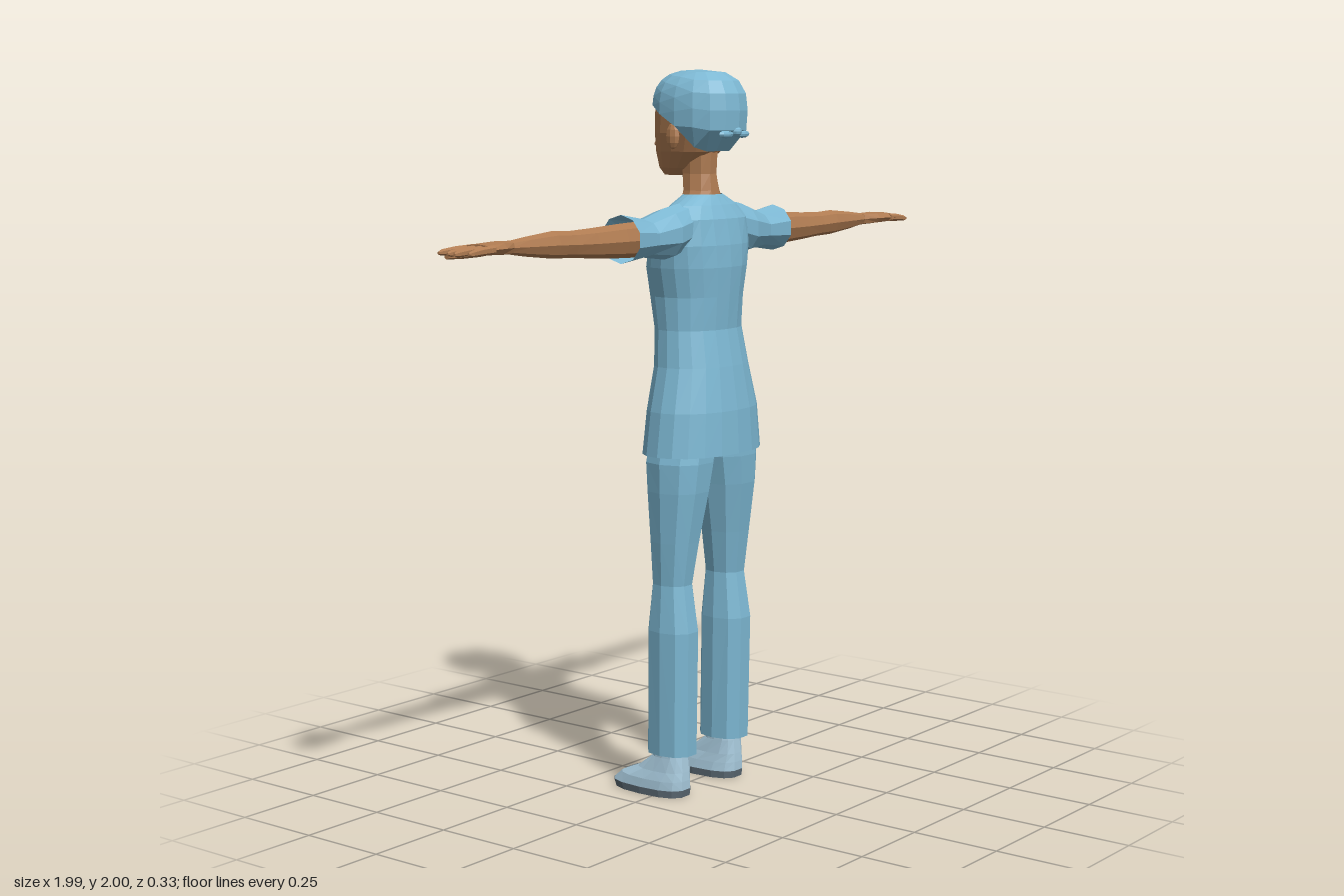
import * as THREE from 'three';

const mat = (name, color, side = THREE.FrontSide) =>
  Object.assign(new THREE.MeshStandardMaterial({ color, side }), { name });

// Faceted surface through rows of points; optionally closed around and capped at both ends.
function skinRows(rows, closed = true, capped = false) {
  const p = [], n = rows[0].length;
  const tri = (...v) => v.forEach(q => p.push(...q));
  for (let r = 0; r < rows.length - 1; r++) {
    for (let i = 0; i < (closed ? n : n - 1); i++) {
      const j = (i + 1) % n, a = rows[r], b = rows[r + 1];
      tri(a[i], a[j], b[j]);
      tri(a[i], b[j], b[i]);
    }
  }
  if (capped) {
    const mid = row => [0, 1, 2].map(k => row.reduce((s, q) => s + q[k], 0) / n);
    const first = rows[0], last = rows[rows.length - 1];
    for (let i = 0; i < n; i++) {
      const j = (i + 1) % n;
      tri(mid(first), first[j], first[i]);
      tri(mid(last), last[i], last[j]);
    }
  }
  const g = new THREE.BufferGeometry();
  g.setAttribute('position', new THREE.Float32BufferAttribute(p, 3));
  g.computeVertexNormals();
  return g;
}

// Unit superellipse corner
const corner = (i, n, pow) => {
  const t = i / n * Math.PI * 2, f = v => Math.sign(v) * Math.abs(v) ** (2 / pow);
  return [f(Math.cos(t)), f(Math.sin(t))];
};

// Upright loft: sections are [y, x0, x1, z0, z1]
const loftY = (sections, n = 12, pow = 2.2, capped = true) =>
  skinRows(sections.map(([y, x0, x1, z0, z1]) => Array.from({ length: n }, (_, i) => {
    const [c, s] = corner(i, n, pow);
    return [(x0 + x1) / 2 + c * (x1 - x0) / 2, y, (z0 + z1) / 2 - s * (z1 - z0) / 2];
  })), true, capped);

// Sideways loft: sections are [x, y0, y1, z0, z1]
const loftX = (sections, n = 8, pow = 2, capped = true) =>
  skinRows(sections.map(([x, y0, y1, z0, z1]) => Array.from({ length: n }, (_, i) => {
    const [c, s] = corner(i, n, pow);
    return [x, (y0 + y1) / 2 + c * (y1 - y0) / 2, (z0 + z1) / 2 + s * (z1 - z0) / 2];
  })), true, capped);

// Thin plate that follows the -z face of an upright loft; rows are [y, halfWidth]
function frontPatch(sections, rows, cx = 0, off = 0.003, pow = 2.2) {
  return skinRows(rows.map(([y, w]) => {
    let k = 0;
    while (k < sections.length - 2 && sections[k + 1][0] < y) k++;
    const a = sections[k], b = sections[k + 1], t = (y - a[0]) / (b[0] - a[0]);
    const [, x0, x1, z0, z1] = a.map((v, i) => v + (b[i] - v) * t);
    return [1, 0.5, 0, -0.5, -1].map(u => {
      const x = cx + u * w, d = Math.min(1, Math.abs((x - (x0 + x1) / 2) / ((x1 - x0) / 2)));
      return [x, y, (z0 + z1) / 2 - (z1 - z0) / 2 * (1 - d ** pow) ** (1 / pow) - off];
    });
  }), false);
}

function mirrored(geometry) {
  const g = geometry.clone(), p = g.attributes.position;
  for (let i = 0; i < p.count; i += 3) {
    const v = [0, 2, 1].map(k => [-p.getX(i + k), p.getY(i + k), p.getZ(i + k)]);
    v.forEach((q, k) => p.setXYZ(i + k, ...q));
  }
  g.computeVertexNormals();
  return g;
}

function blob(x, y, z, rx, ry, rz) {
  const g = new THREE.SphereGeometry(1, 8, 6).toNonIndexed();
  g.scale(rx, ry, rz).translate(x, y, z);
  g.computeVertexNormals();
  return g;
}

export function createModel() {
  const model = new THREE.Group();
  model.name = 'figure';
  const cloth = mat('blue cloth', 0x7db8d3, THREE.DoubleSide);
  const skin = mat('skin', 0xb07c52);
  const lip = mat('lips', 0x8a5242);
  const white = mat('eye white', 0xe4e0da);
  const dark = mat('dark brown', 0x33241d);
  const shoeBlue = mat('pale shoe', 0xa9cbde);
  const soleGrey = mat('sole', 0x5c6a74);
  const laceGrey = mat('laces', 0x76868f);

  const add = (name, g, m) => {
    const mesh = new THREE.Mesh(g, m);
    mesh.name = name;
    model.add(mesh);
  };
  const pair = (name, g, m) => {
    add(name + 'Left', g, m);
    add(name + 'Right', mirrored(g), m);
  };

  // Tunic with open hem
  const torso = [
    [0.96, -0.2, 0.2, -0.088, 0.167], [1.08, -0.185, 0.185, -0.08, 0.162],
    [1.2, -0.153, 0.153, -0.07, 0.145], [1.3, -0.14, 0.14, -0.073, 0.127],
    [1.39, -0.142, 0.142, -0.092, 0.134], [1.47, -0.16, 0.16, -0.096, 0.14],
    [1.53, -0.168, 0.168, -0.078, 0.137], [1.6, -0.162, 0.162, -0.038, 0.124],
    [1.637, -0.12, 0.12, -0.018, 0.105], [1.665, -0.062, 0.062, -0.004, 0.088],
  ];
  add('tunic', loftY(torso, 20, 2.2, false), cloth);
  add('neckOpening', frontPatch(torso, [[1.53, 0.002], [1.57, 0.018], [1.6, 0.03], [1.637, 0.044], [1.663, 0.052]], 0, 0.005), skin);
  pair('sleeve', loftX([
    [0.08, 1.52, 1.648, -0.01, 0.1], [0.17, 1.495, 1.633, -0.025, 0.11],
    [0.25, 1.505, 1.607, -0.025, 0.095], [0.34, 1.493, 1.622, -0.036, 0.1],
  ], 10, 2, false), cloth);

  // Arms and hands
  pair('arm', loftX([
    [0.26, 1.507, 1.603, -0.003, 0.083], [0.36, 1.51, 1.6, 0, 0.08],
    [0.47, 1.516, 1.594, 0.002, 0.073], [0.55, 1.522, 1.591, 0.003, 0.07],
    [0.62, 1.524, 1.594, 0.003, 0.07], [0.72, 1.535, 1.585, 0.012, 0.062],
    [0.79, 1.545, 1.577, 0.017, 0.055],
  ]), skin);
  pair('palm', loftX([
    [0.78, 1.544, 1.578, 0.016, 0.056], [0.83, 1.545, 1.58, -0.002, 0.076],
    [0.9, 1.549, 1.576, -0.004, 0.086],
  ], 8, 2.5), skin);
  [[0.006, -0.018, 0.975], [0.03, 0.026, 0.99], [0.053, 0.052, 0.993], [0.075, 0.077, 0.97]].forEach(([z0, z1, tip], i) => {
    const zm = (z0 + z1) / 2, xm = (0.88 + tip) / 2;
    pair('finger' + (i + 1), loftX([
      [0.88, 1.551, 1.574, z0 - 0.011, z0 + 0.011], [xm, 1.55, 1.571, zm - 0.011, zm + 0.011],
      [tip - 0.012, 1.549, 1.565, z1 - 0.009, z1 + 0.009], [tip, 1.552, 1.56, z1 - 0.004, z1 + 0.004],
    ], 6), skin);
  });
  pair('thumb', loftX([
    [0.805, 1.547, 1.572, 0.005, 0.035], [0.84, 1.539, 1.568, -0.03, 0.012],
    [0.866, 1.535, 1.558, -0.055, -0.02], [0.893, 1.533, 1.547, -0.077, -0.062],
  ], 6), skin);

  // Trousers
  pair('trouserLeg', loftY([
    [0.12, 0.062, 0.177, -0.045, 0.1], [0.47, 0.06, 0.182, -0.04, 0.106],
    [0.6, 0.07, 0.17, -0.027, 0.086], [0.72, 0.05, 0.18, -0.033, 0.103],
    [0.86, 0.022, 0.189, -0.045, 0.125], [0.94, 0.003, 0.191, -0.052, 0.132],
    [1.02, 0, 0.17, -0.05, 0.13],
  ], 10, 2.3, false), cloth);

  // Shoes
  const shoe = [
    [0.02, 0.062, 0.18, -0.166, 0.08], [0.045, 0.066, 0.178, -0.137, 0.08],
    [0.07, 0.072, 0.17, -0.078, 0.078], [0.11, 0.077, 0.163, -0.025, 0.074],
    [0.16, 0.08, 0.16, -0.02, 0.07],
  ];
  pair('shoe', loftY(shoe, 14, 2.6), shoeBlue);
  pair('sole', loftY([[0, 0.063, 0.179, -0.16, 0.078], [0.02, 0.061, 0.181, -0.168, 0.081]], 14, 2.6), soleGrey);
  pair('laces', frontPatch(shoe, [[0.05, 0.018], [0.07, 0.021], [0.1, 0.018]], 0.121, 0.004, 2.6), laceGrey);

  // Neck and head
  add('neck', loftY([
    [1.62, -0.075, 0.075, -0.015, 0.095], [1.675, -0.05, 0.05, -0.012, 0.086],
    [1.72, -0.041, 0.041, -0.02, 0.08], [1.8, -0.042, 0.042, -0.03, 0.085],
  ], 10), skin);
  const head = [
    [1.715, -0.028, 0.028, -0.082, -0.02], [1.735, -0.05, 0.05, -0.096, 0.025],
    [1.78, -0.077, 0.077, -0.101, 0.085], [1.83, -0.091, 0.091, -0.1, 0.11],
    [1.88, -0.096, 0.096, -0.098, 0.12], [1.93, -0.094, 0.094, -0.09, 0.12],
    [1.975, -0.05, 0.05, -0.03, 0.08],
  ];
  add('head', loftY(head, 16), skin);
  pair('ear', blob(0.098, 1.822, 0.015, 0.013, 0.035, 0.022), skin);
  add('nose', loftY([
    [1.786, -0.012, 0.012, -0.106, -0.09], [1.797, -0.018, 0.018, -0.122, -0.09],
    [1.815, -0.011, 0.011, -0.115, -0.09], [1.86, -0.007, 0.007, -0.102, -0.09],
  ], 6), skin);

  // Facial details
  pair('eye', frontPatch(head, [[1.84, 0.006], [1.848, 0.016], [1.856, 0.007]], 0.038), white);
  pair('iris', frontPatch(head, [[1.841, 0.004], [1.848, 0.006], [1.856, 0.004]], 0.038, 0.005), dark);
  pair('eyebrow', frontPatch(head, [[1.871, 0.02], [1.878, 0.017]], 0.041), dark);
  add('lips', frontPatch(head, [[1.75, 0.01], [1.758, 0.026], [1.767, 0.012]], 0, 0.005), lip);

  // Cap: brow-high rim at the face, dipping to the nape
  const capRows = [];
  for (let r = 0; r <= 6; r++) {
    capRows.push(Array.from({ length: 16 }, (_, i) => {
      const [c, s] = corner(i, 16, 2.2);
      const rim = s > 0 ? 1.85 + 0.075 * s : 1.85 - 0.068 * Math.min(1, -s * 2);
      const y = rim + (2 - rim) * Math.sin(r / 6 * Math.PI / 2);
      const k = Math.max(0, 1 - (Math.abs(y - 1.885) / 0.115) ** 2.8) ** (1 / 2.8);
      return [0.115 * c * k, y, 0.032 - 0.135 * s * k];
    }));
  }
  add('cap', skinRows(capRows), cloth);
  add('capKnot', blob(0, 1.835, 0.155, 0.018, 0.014, 0.014), cloth);
  pair('capTie', blob(0.036, 1.828, 0.148, 0.03, 0.011, 0.012), cloth);

  return model;
}
